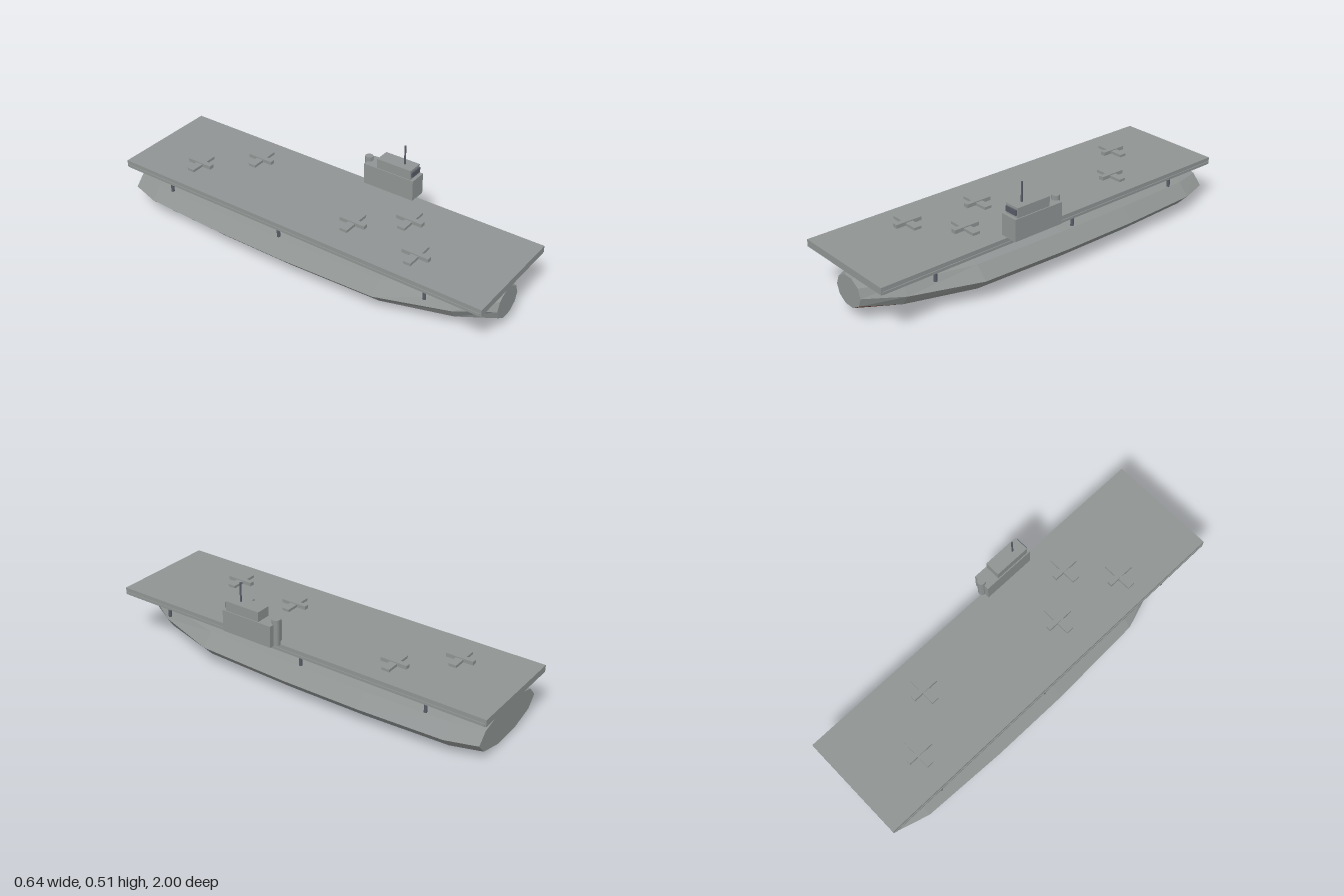
import * as THREE from 'three';

const paint = (name, color) => {
  const m = new THREE.MeshStandardMaterial({ color, flatShading: true });
  m.name = name;
  return m;
};

export function createModel() {
  const model = new THREE.Group();
  model.name = 'carrierShip';
  const grey = paint('naval grey', 0x8f9493);
  const red = paint('hull red', 0x7a4a3e);
  const slate = paint('dark slate', 0x585c66);

  const add = (name, geometry, material, x = 0, y = 0, z = 0, parent = model) => {
    const mesh = new THREE.Mesh(geometry, material);
    mesh.name = name;
    mesh.position.set(x, y, z);
    parent.add(mesh);
    return mesh;
  };
  // Box given by its bottom height
  const box = (name, material, w, h, d, x, y0, z, parent) =>
    add(name, new THREE.BoxGeometry(w, h, d), material, x, y0 + h / 2, z, parent);
  const post = (name, material, r, h, x, y0, z, sides = 8) =>
    add(name, new THREE.CylinderGeometry(r, r, h, sides), material, x, y0 + h / 2, z);

  // Hull: ten-sided sections from bow to stern [z, half width, bottom, top]
  const SIDES = 10;
  const rings = [
    [0.977, 0.088, 0.049, 0.19],
    [0.81, 0.19, 0.028, 0.2],
    [0.48, 0.3, 0.015, 0.206],
    [0, 0.317, 0.01, 0.208],
    [-0.4, 0.315, 0.01, 0.206],
    [-0.82, 0.298, 0.015, 0.202],
    [-0.967, 0.255, 0.027, 0.195],
  ].map(([z, rx, lo, hi]) => {
    const cy = (lo + hi) / 2;
    const ry = (hi - lo) / 2 / Math.sin(Math.PI * 0.4);
    return Array.from({ length: SIDES }, (_, j) => {
      const a = (j / SIDES) * Math.PI * 2;
      return [rx * Math.cos(a), cy + ry * Math.sin(a), z];
    });
  });
  const upper = [];
  const lower = [];
  for (let i = 0; i < rings.length - 1; i++) {
    for (let j = 0; j < SIDES; j++) {
      const k = (j + 1) % SIDES;
      const [a, b, c, d] = [rings[i][j], rings[i][k], rings[i + 1][k], rings[i + 1][j]];
      (j >= 6 && j <= 8 ? lower : upper).push(a, d, c, a, c, b);
    }
  }
  // Flat bow and stern caps
  const bow = rings[0];
  const stern = rings[rings.length - 1];
  for (let j = 1; j < SIDES - 1; j++) {
    upper.push(bow[0], bow[j], bow[j + 1], stern[0], stern[j + 1], stern[j]);
  }
  const loft = (points) => {
    const g = new THREE.BufferGeometry();
    g.setAttribute('position', new THREE.Float32BufferAttribute(points.flat(), 3));
    g.computeVertexNormals();
    return g;
  };
  add('upperHull', loft(upper), grey);
  add('lowerHull', loft(lower), red);

  // Flight deck with a narrow lip along each side
  box('flightDeck', grey, 0.545, 0.034, 1.995, 0, 0.228, 0);
  for (const s of [-1, 1]) {
    box('deckLip', grey, 0.005, 0.013, 1.98, s * 0.2735, 0.229, 0);
    for (const z of [0.72, -0.06, -0.71]) {
      post('deckSupport', slate, 0.008, 0.043, s * 0.263, 0.186, z);
    }
  }

  // Island with bridge, window, mast and funnel
  box('island', grey, 0.087, 0.107, 0.272, 0.28, 0.26, 0.2);
  box('bridge', grey, 0.077, 0.048, 0.185, 0.28, 0.367, 0.227);
  box('bridgeWindow', slate, 0.066, 0.025, 0.008, 0.28, 0.379, 0.3225);
  post('mast', slate, 0.0045, 0.097, 0.28, 0.414, 0.263);
  post('funnel', grey, 0.02, 0.129, 0.28, 0.26, 0.064, 10);

  // Parked aircraft
  const spots = [[-0.09, -0.675], [0.113, -0.46], [-0.073, 0.22], [0.089, 0.42], [-0.115, 0.583]];
  for (const [x, z] of spots) {
    const plane = new THREE.Group();
    plane.name = 'aircraft';
    plane.position.set(x, 0.262, z);
    box('fuselage', grey, 0.025, 0.018, 0.135, 0, 0, 0, plane);
    box('wings', grey, 0.153, 0.013, 0.038, 0, 0, 0, plane);
    model.add(plane);
  }

  // Slight bow-up trim and heading
  model.rotation.set(-0.015, -0.009, 0);
  model.position.set(-0.005, 0, 0);
  const group = new THREE.Group();
  group.name = 'ship';
  group.add(model);
  return group;
}
